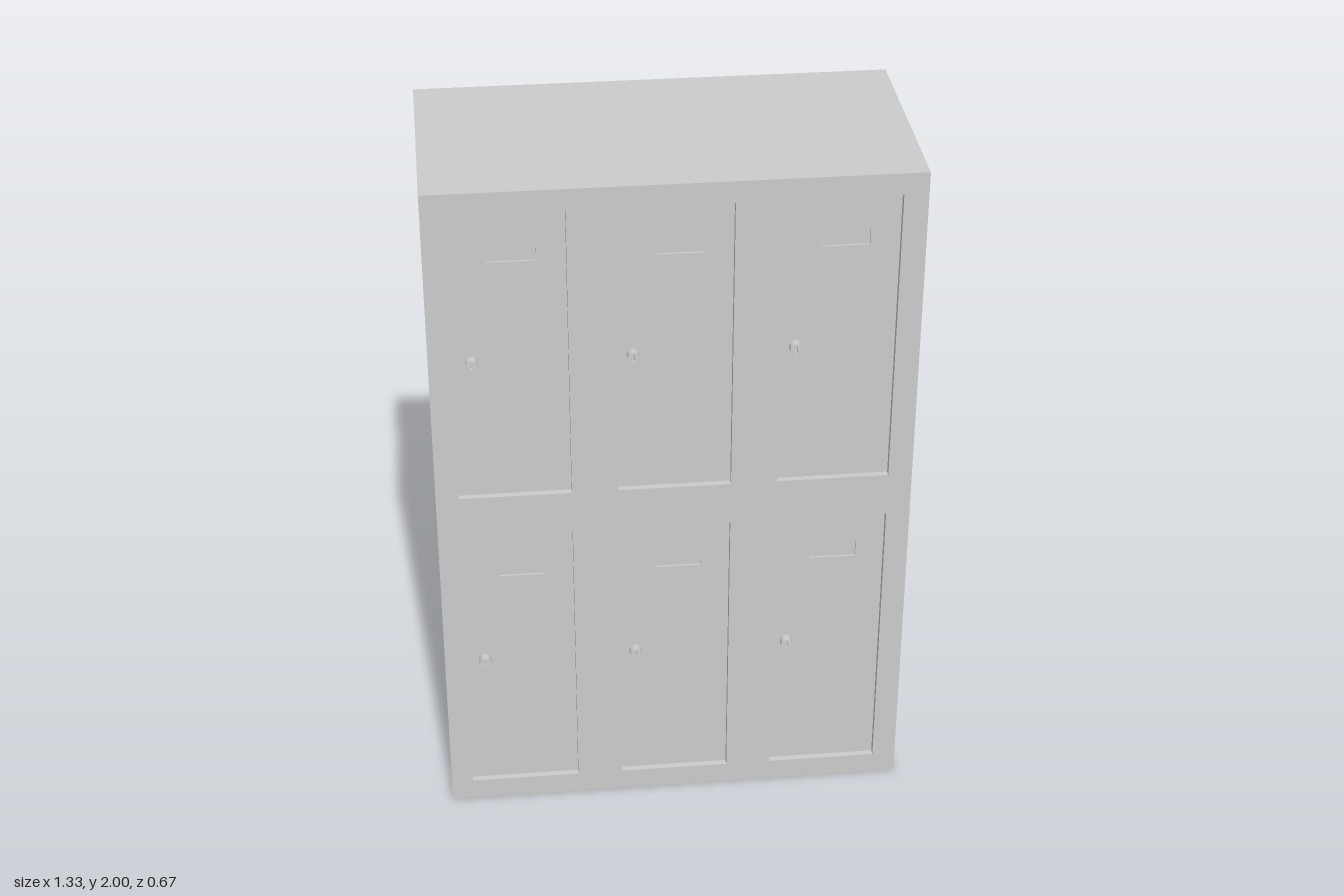
import * as THREE from 'three';

const WIDTH = 1.332, HEIGHT = 2;
const BACK = -0.335, FRONT = 0.33;
const DOOR_Z = 0.312;          // face of the recessed doors
const CORE_Z = 0.306;          // floor of the label recesses
const DOOR_W = 0.314, DOOR_H = 0.872;
const COLUMNS = [-0.446, -0.002, 0.442];
const ROWS = [0.5, 1.502];
const LOCK_X = [-0.55, -0.115, 0.326];
const LOCK_Y = [0.5, 1.49];

const material = new THREE.MeshStandardMaterial({ color: 0xcccccc });

// Rectangle centred on (x, y), as a shape or a hole
function rect(Type, x, y, w, h) {
  const p = new Type();
  p.moveTo(x - w / 2, y - h / 2);
  p.lineTo(x + w / 2, y - h / 2);
  p.lineTo(x + w / 2, y + h / 2);
  p.lineTo(x - w / 2, y + h / 2);
  p.closePath();
  return p;
}

function slab(name, shape, z0, z1) {
  const geometry = new THREE.ExtrudeGeometry(shape, { depth: z1 - z0, bevelEnabled: false, curveSegments: 12 });
  const mesh = new THREE.Mesh(geometry, material);
  mesh.name = name;
  mesh.position.z = z0;
  return mesh;
}

// Round lock with a vertical key slot
function createLock() {
  const lock = new THREE.Group();
  lock.name = 'lock';
  const face = new THREE.Shape();
  face.absarc(0, 0, 0.017, 0, Math.PI * 2, false);
  face.holes.push(rect(THREE.Path, 0, 0, 0.006, 0.018));
  lock.add(slab('lockFace', face, 0.016, 0.025));

  const barrel = new THREE.Mesh(new THREE.CylinderGeometry(0.017, 0.017, 0.016, 24), material);
  barrel.name = 'lockBarrel';
  barrel.rotation.x = Math.PI / 2;
  barrel.position.z = 0.008;
  lock.add(barrel);
  return lock;
}

export function createModel() {
  const model = new THREE.Group();
  model.name = 'lockerCabinet';

  // Cabinet body
  const body = new THREE.Mesh(new THREE.BoxGeometry(WIDTH, HEIGHT, CORE_Z - BACK), material);
  body.name = 'cabinetBody';
  body.position.set(0, HEIGHT / 2, (BACK + CORE_Z) / 2);
  model.add(body);

  // Front frame with six door openings
  const frame = rect(THREE.Shape, 0, HEIGHT / 2, WIDTH, HEIGHT);
  for (const x of COLUMNS)
    for (const y of ROWS) frame.holes.push(rect(THREE.Path, x, y, DOOR_W, DOOR_H));
  model.add(slab('frontFrame', frame, CORE_Z, FRONT));

  // Doors, each with a shallow label recess and a lock
  COLUMNS.forEach((x, i) => ROWS.forEach((y, j) => {
    const panel = rect(THREE.Shape, x, y, DOOR_W, DOOR_H);
    panel.holes.push(rect(THREE.Path, x + 0.012, y + DOOR_H / 2 - 0.125, 0.13, 0.05));
    const door = new THREE.Group();
    door.name = 'door';
    door.add(slab('doorPanel', panel, CORE_Z, DOOR_Z));
    const lock = createLock();
    lock.position.set(LOCK_X[i], LOCK_Y[j], DOOR_Z);
    door.add(lock);
    model.add(door);
  }));

  return model;
}
